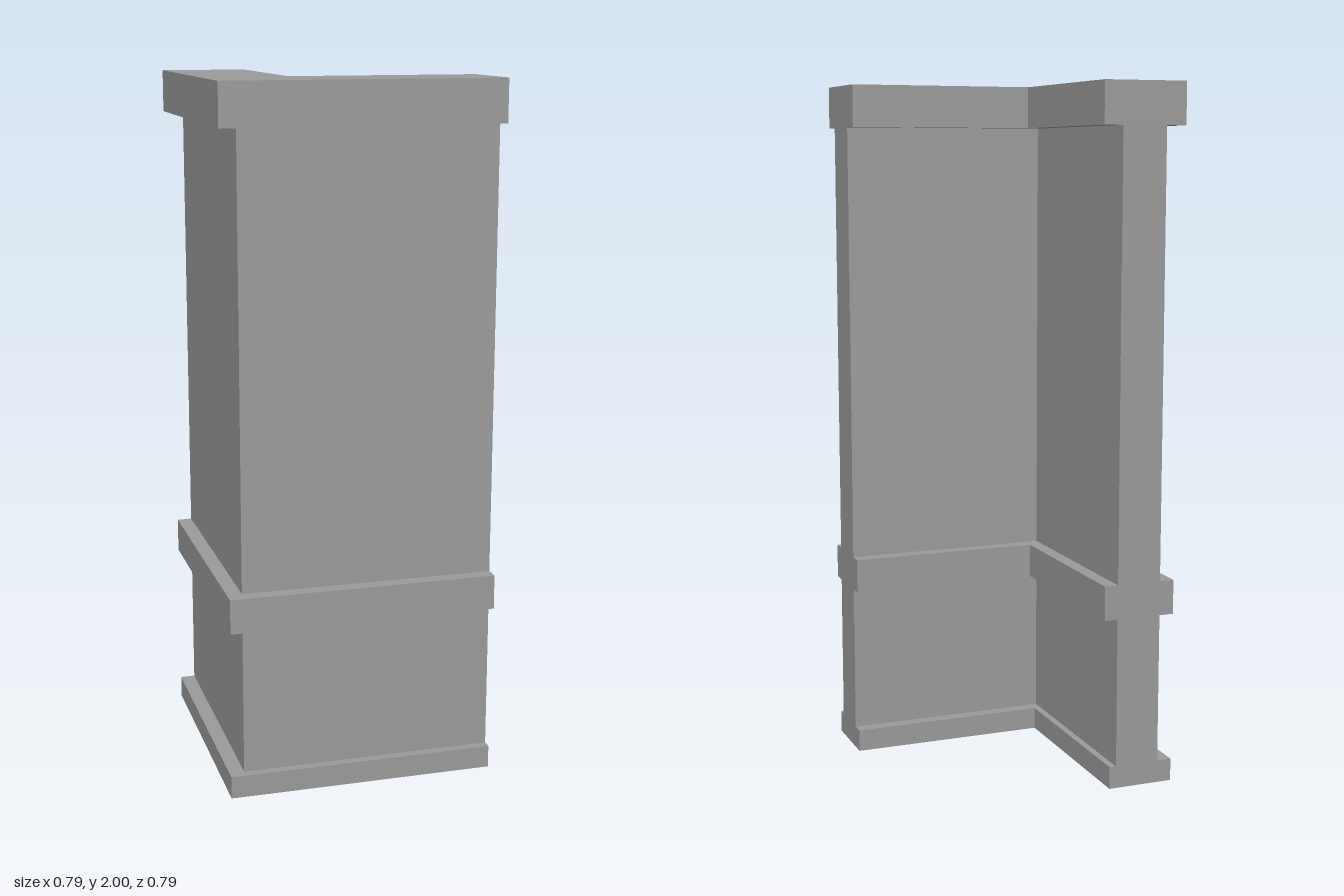
import * as THREE from 'three';

const END = 0.395; // all layers finish flush at both free ends
const COLOR = 0x9a9a9a;

// L outline in plan: outer and inner offsets of the two arms, as [x, z]
function outline(xOut, xIn, zOut, zIn) {
  return [
    [xOut, zOut], [END, zOut], [END, zIn],
    [xIn, zIn], [xIn, -END], [xOut, -END],
  ];
}

function planShape(points) {
  return new THREE.Shape(points.map(([x, z]) => new THREE.Vector2(x, -z)));
}

export function createModel() {
  const group = new THREE.Group();
  const material = new THREE.MeshStandardMaterial({ color: COLOR });
  const thin = new THREE.MeshStandardMaterial({ color: COLOR, side: THREE.DoubleSide });

  // Solid L-shaped layer between two heights
  function layer(name, points, y0, y1) {
    const geometry = new THREE.ExtrudeGeometry(planShape(points), { depth: y1 - y0, bevelEnabled: false });
    geometry.rotateX(-Math.PI / 2).translate(0, y0, 0);
    const mesh = new THREE.Mesh(geometry, material);
    mesh.name = name;
    group.add(mesh);
  }

  // The lower wall reaches slightly below the skirting ledge
  const wall = outline(-0.337, -0.205, 0.338, 0.205);
  layer('lowerWall', wall, 0.06, 0.5);
  layer('middleBand', outline(-0.38, -0.165, 0.38, 0.162), 0.5, 0.6);
  layer('upperWall', wall, 0.6, 1.88);
  layer('topCap', outline(-0.396, -0.149, 0.396, 0.147), 1.88, 2);

  // Skirting: a thin ledge with upright sides, open underneath
  const skirting = new THREE.Group();
  skirting.name = 'skirting';
  const base = outline(-0.38, -0.185, 0.365, 0.167);
  const height = 0.065;
  const ledge = new THREE.Mesh(new THREE.ShapeGeometry(planShape(base)), thin);
  ledge.name = 'skirtingLedge';
  ledge.rotation.x = -Math.PI / 2;
  ledge.position.y = height;
  skirting.add(ledge);
  base.forEach(([x0, z0], i) => {
    const [x1, z1] = base[(i + 1) % base.length];
    const length = Math.hypot(x1 - x0, z1 - z0);
    const side = new THREE.Mesh(new THREE.PlaneGeometry(length, height), thin);
    side.name = 'skirtingSide';
    side.position.set((x0 + x1) / 2, height / 2, (z0 + z1) / 2);
    side.rotation.y = -Math.atan2(z1 - z0, x1 - x0);
    skirting.add(side);
  });
  group.add(skirting);

  return group;
}
